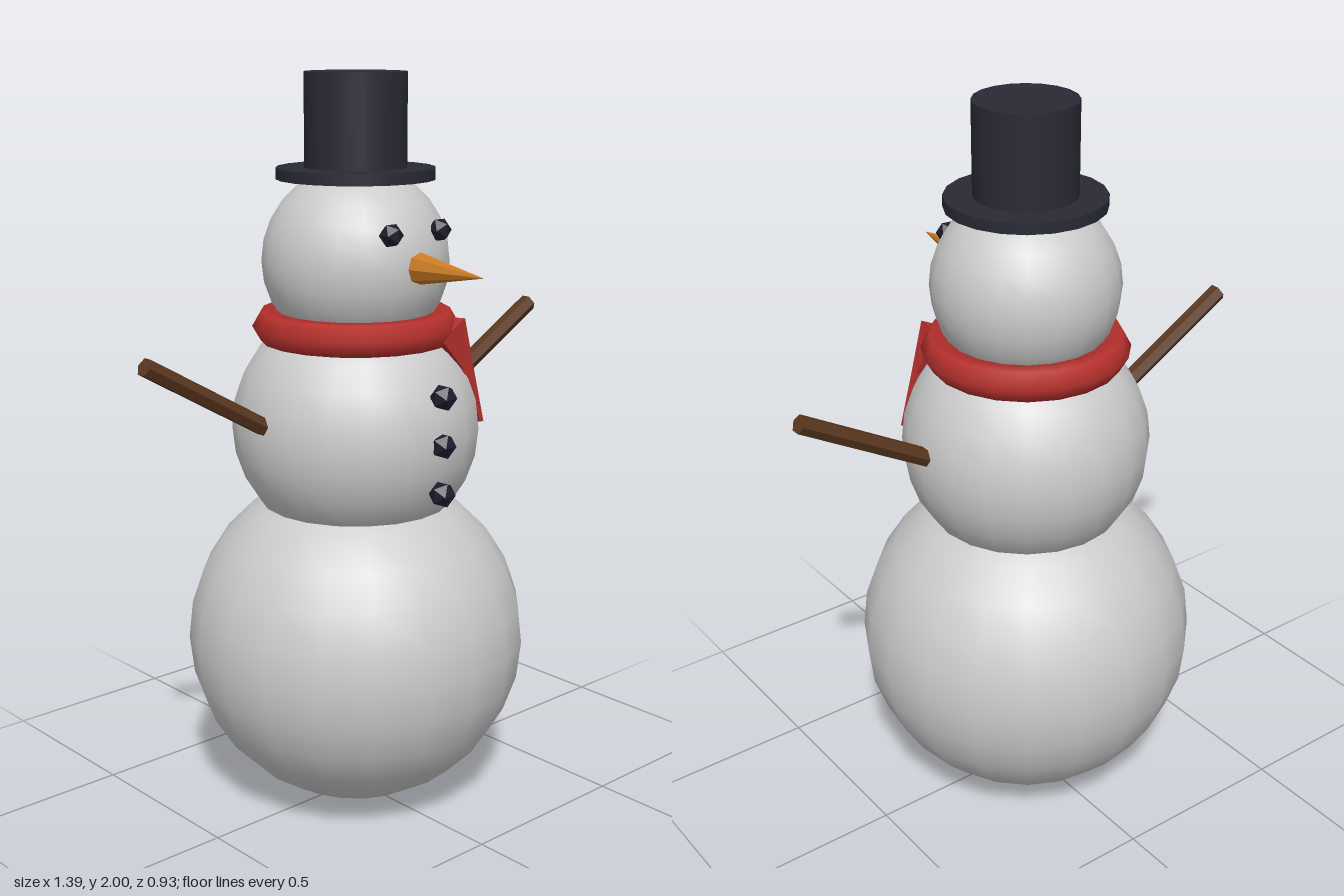
import * as THREE from 'three';

const mat = (color, flatShading = false) => new THREE.MeshStandardMaterial({ color, flatShading });

export function createModel() {
  const model = new THREE.Group();
  const snow = mat(0xcccccc);
  const felt = mat(0x282a34);
  const coal = mat(0x1c1c2e, true);
  const wood = mat(0x5a371f, true);
  const wool = mat(0xb5302c);
  const carrot = mat(0xc87a22, true);

  const add = (name, geometry, material, x, y, z) => {
    const mesh = new THREE.Mesh(geometry, material);
    mesh.name = name;
    mesh.position.set(x, y, z);
    model.add(mesh);
    return mesh;
  };

  // Three stacked snowballs
  for (const [name, r, y] of [['base', 0.465, 0.47], ['torso', 0.335, 1.07], ['head', 0.25, 1.515]]) {
    add(name, new THREE.SphereGeometry(r, 20, 14), snow, 0, y, 0);
  }

  // Top hat
  add('hatBrim', new THREE.CylinderGeometry(0.21, 0.21, 0.03, 20), felt, 0, 1.742, 0);
  add('hatCrown', new THREE.CylinderGeometry(0.135, 0.135, 0.25, 20), felt, 0, 1.875, 0);

  // Carrot nose
  const nose = add('nose', new THREE.ConeGeometry(0.044, 0.235, 8), carrot, 0, 1.518, 0.348);
  nose.rotation.x = Math.PI / 2;

  // Coal eyes and buttons
  for (const side of [-1, 1]) {
    add(side > 0 ? 'leftEye' : 'rightEye', new THREE.IcosahedronGeometry(0.032), coal, side * 0.085, 1.607, 0.226);
  }
  for (const y of [0.94, 1.07, 1.197]) {
    const button = add('button', new THREE.IcosahedronGeometry(0.036), coal, 0, y, 0.333);
    button.rotation.z = Math.PI / 2;
  }

  // Stick arms, rising outward at 30 degrees from inside the torso
  for (const side of [-1, 1]) {
    const arm = add(side > 0 ? 'leftArm' : 'rightArm', new THREE.CylinderGeometry(0.025, 0.025, 0.5, 6), wood,
      side * 0.468, 1.197, 0);
    arm.rotation.z = -side * Math.PI / 3;
  }

  // Scarf ring
  const ring = add('scarf', new THREE.TorusGeometry(0.23, 0.047, 6, 20), wool, 0, 1.342, 0);
  ring.rotation.x = Math.PI / 2;

  // Scarf tail: four-cornered sections narrowing downward
  const sections = [
    [[0.074, 1.325, 0.25], [0.165, 1.37, 0.245], [0.165, 1.365, 0.18], [0.09, 1.32, 0.18]],
    [[0.155, 1.24, 0.247], [0.2, 1.23, 0.247], [0.198, 1.23, 0.226], [0.158, 1.24, 0.226]],
    [[0.228, 1.08, 0.246], [0.242, 1.08, 0.246], [0.242, 1.08, 0.232], [0.228, 1.08, 0.232]],
  ];
  const index = [0, 1, 2, 0, 2, 3, 8, 10, 9, 8, 11, 10];
  for (let s = 0; s < 2; s++) {
    for (let i = 0; i < 4; i++) {
      const a = s * 4 + i, b = s * 4 + (i + 1) % 4;
      index.push(a, a + 4, b, b, a + 4, b + 4);
    }
  }
  const tail = new THREE.BufferGeometry();
  tail.setAttribute('position', new THREE.Float32BufferAttribute(sections.flat(2), 3));
  tail.setIndex(index);
  tail.computeVertexNormals();
  add('scarfTail', tail, mat(0xb5302c, true), 0, 0, 0);

  return model;
}
